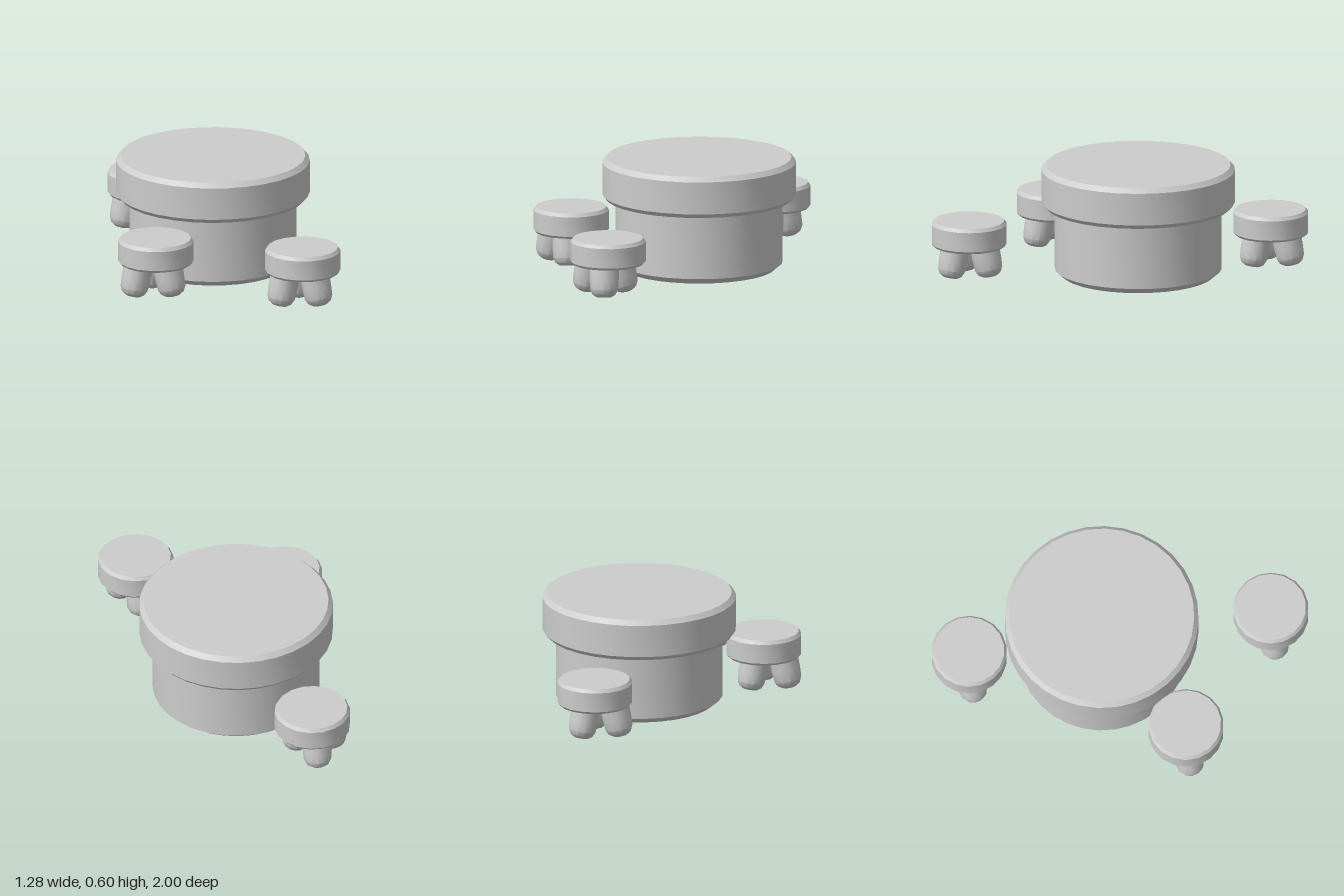
import * as THREE from 'three';
import { toCreasedNormals } from 'three/addons/utils/BufferGeometryUtils.js';

const grey = new THREE.MeshStandardMaterial({ color: 0xcccccc });
grey.name = 'plain grey';

// Closed turned solid from [radius, height] pairs, bottom to top
function turned(name, profile, sides) {
  const points = profile.map(([r, y]) => new THREE.Vector2(r, y));
  const geometry = toCreasedNormals(new THREE.LatheGeometry(points, sides), 0.55);
  const mesh = new THREE.Mesh(geometry, grey);
  mesh.name = name;
  return mesh;
}

// Round table: thick bevelled top on a drum base
function createTable() {
  const table = new THREE.Group();
  table.name = 'table';
  table.add(
    turned('tableBase', [[0, 0], [0.4, 0.003], [0.438, 0.035], [0.438, 0.385], [0, 0.385]], 32),
    turned('tableTop', [[0, 0.375], [0.488, 0.375], [0.508, 0.398], [0.508, 0.57], [0.485, 0.595], [0, 0.595]], 32),
  );
  table.position.set(0.13, 0, -0.1);
  return table;
}

// Stool: round seat on three splayed, rounded legs
function createStool(x, z) {
  const stool = new THREE.Group();
  stool.name = 'stool';
  stool.add(turned('seat', [[0, 0.195], [0.187, 0.195], [0.198, 0.208], [0.198, 0.312], [0.185, 0.33], [0, 0.33]], 18));

  const up = new THREE.Vector3(0, 1, 0);
  const legProfile = [[0, 0], [0.038, 0], [0.06, 0.014], [0.073, 0.04], [0.077, 0.1], [0.077, 0.185], [0, 0.185]];
  for (let i = 0; i < 3; i++) {
    const angle = Math.PI + (i * Math.PI * 2) / 3;
    const foot = new THREE.Vector3(Math.cos(angle) * 0.122 - 0.02, 0.035, Math.sin(angle) * 0.122);
    const head = new THREE.Vector3(Math.cos(angle) * 0.085 - 0.02, 0.21, Math.sin(angle) * 0.085);
    const leg = turned('stoolLeg', legProfile, 12);
    leg.position.copy(foot);
    leg.quaternion.setFromUnitVectors(up, head.sub(foot).normalize());
    stool.add(leg);
  }
  stool.position.set(x, 0, z);
  return stool;
}

export function createModel() {
  const model = new THREE.Group();
  model.name = 'tableWithStools';
  model.add(createTable());
  for (const [x, z] of [[0.145, -0.802], [-0.44, 0.255], [0.13, 0.798]]) {
    model.add(createStool(x, z));
  }
  return model;
}
